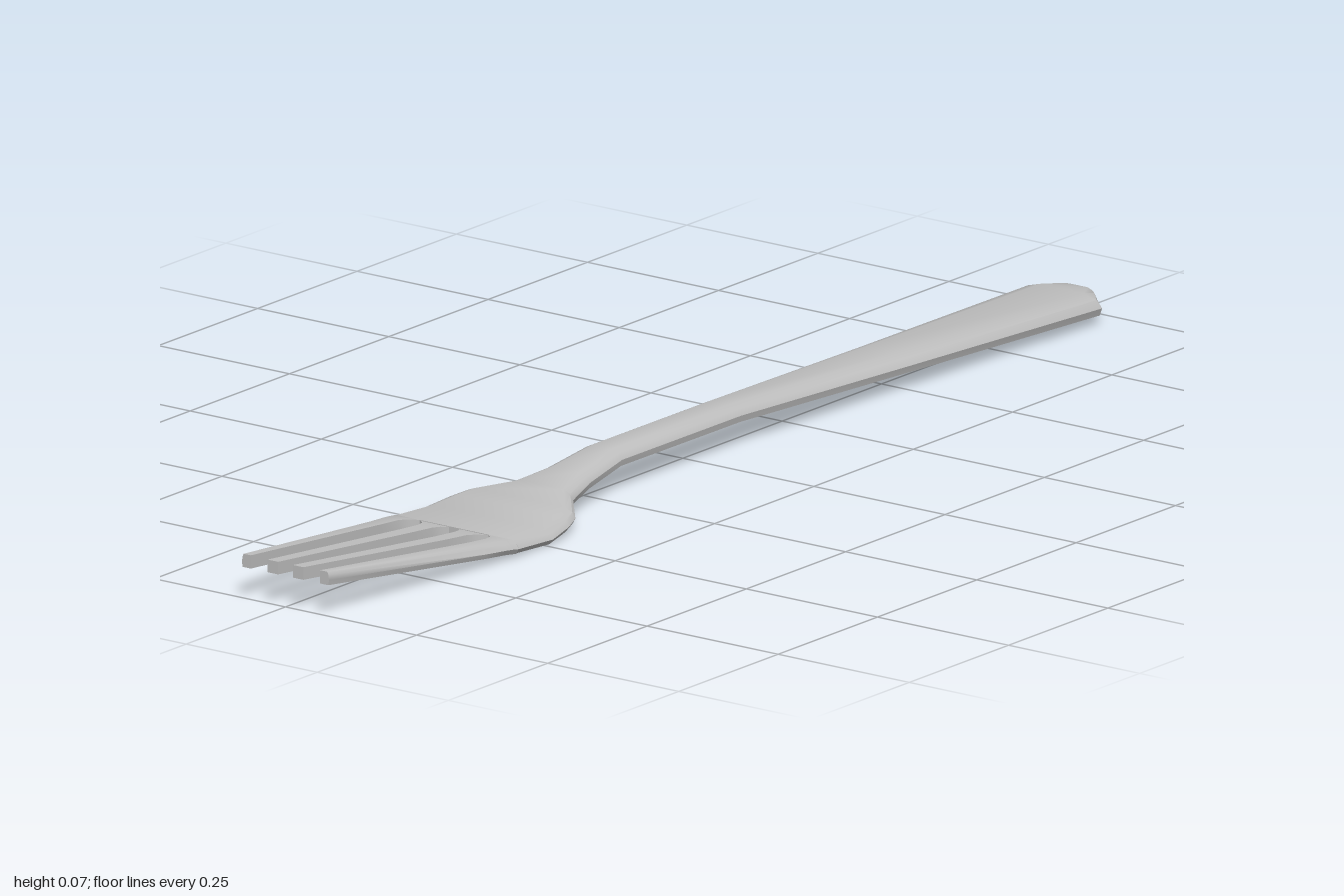
import * as THREE from 'three';
import { toCreasedNormals } from 'three/addons/utils/BufferGeometryUtils.js';

// Closed solid through cross-sections, ordered by rising z, each counterclockwise seen from +z
function loft(sections) {
  const n = sections[0].length, index = [];
  for (let i = 0; i < sections.length - 1; i++) {
    for (let j = 0; j < n; j++) {
      const k = (j + 1) % n;
      const a = i * n + j, b = i * n + k, c = b + n, d = a + n;
      index.push(a, b, c, a, c, d);
    }
  }
  const last = (sections.length - 1) * n;
  for (let j = 1; j < n - 1; j++) {
    index.push(0, j + 1, j, last, last + j, last + j + 1);
  }
  const g = new THREE.BufferGeometry();
  g.setAttribute('position', new THREE.Float32BufferAttribute(sections.flat(2), 3));
  g.setIndex(index);
  return toCreasedNormals(g, 0.7);
}

// Flat underside, rounded upper edges
function bodySection([z, w, y, h, bevel]) {
  const half = [[w * 0.94, 0], [w, 0.4 * h], [w - bevel * 0.4, 0.78 * h], [w - bevel * 1.3, h]];
  const other = half.map(([x, v]) => [-x, v]).reverse();
  return [...half, ...other].map(([x, v]) => [x, y + v, z]);
}

// Rectangular tine section, with the outer edge optionally bevelled
function tineSection(z, inner, outer, y, h, bevel, side) {
  const p = [
    [inner, y, z], [outer - bevel * 0.4, y, z], [outer, y + 0.4 * h, z],
    [outer - bevel * 0.4, y + 0.78 * h, z], [outer - bevel, y + h, z], [inner, y + h, z],
  ];
  return side > 0 ? p : p.map(([x, v, w]) => [-x, v, w]).reverse();
}

export function createModel() {
  const group = new THREE.Group();
  const steel = new THREE.MeshStandardMaterial({ color: 0xbfbfbf });
  steel.name = 'steel';
  const add = (name, sections) => {
    const mesh = new THREE.Mesh(loft(sections), steel);
    mesh.name = name;
    group.add(mesh);
  };

  // Handle, neck and bowl: z, half width, underside y, thickness, bevel
  const body = [
    [-1.0, 0.028, 0.02, 0.018, 0.01],
    [-0.99, 0.04, 0.015, 0.026, 0.014],
    [-0.955, 0.076, 0.014, 0.03, 0.026],
    [-0.5, 0.054, 0.027, 0.028, 0.02],
    [-0.1, 0.036, 0.04, 0.026, 0.014],
    [0.2, 0.036, 0.041, 0.025, 0.013],
    [0.29, 0.043, 0.027, 0.025, 0.013],
    [0.355, 0.06, 0.018, 0.024, 0.014],
    [0.41, 0.106, 0.01, 0.024, 0.015],
    [0.44, 0.116, 0.006, 0.023, 0.015],
    [0.49, 0.124, 0, 0.022, 0.013],
    [0.575, 0.123, 0.005, 0.021, 0.01],
  ];
  add('handleAndBowl', body.map(bodySection));

  // Tines: z, centre slot edge, outer slot edges, outer edge, underside y
  const rows = [
    [0.575, 0.01, 0.064, 0.066, 0.123, 0.005],
    [0.588, 0.017, 0.052, 0.077, 0.122, 0.007],
    [0.605, 0.02, 0.046, 0.083, 0.121, 0.009],
    [0.65, 0.02, 0.045, 0.082, 0.117, 0.013],
    [1.0, 0.014, 0.034, 0.066, 0.083, 0.049],
  ];
  for (const side of [1, -1]) {
    const label = side > 0 ? 'left' : 'right';
    add(label + 'InnerTine', rows.map(([z, c, a, , , y]) => tineSection(z, c, a, y, 0.02, 0, side)));
    add(label + 'OuterTine', rows.map(([z, , , b, o, y], i) =>
      tineSection(z, b, o, y, 0.021, i === 4 ? 0.003 : 0.012, side)));
  }
  return group;
}
